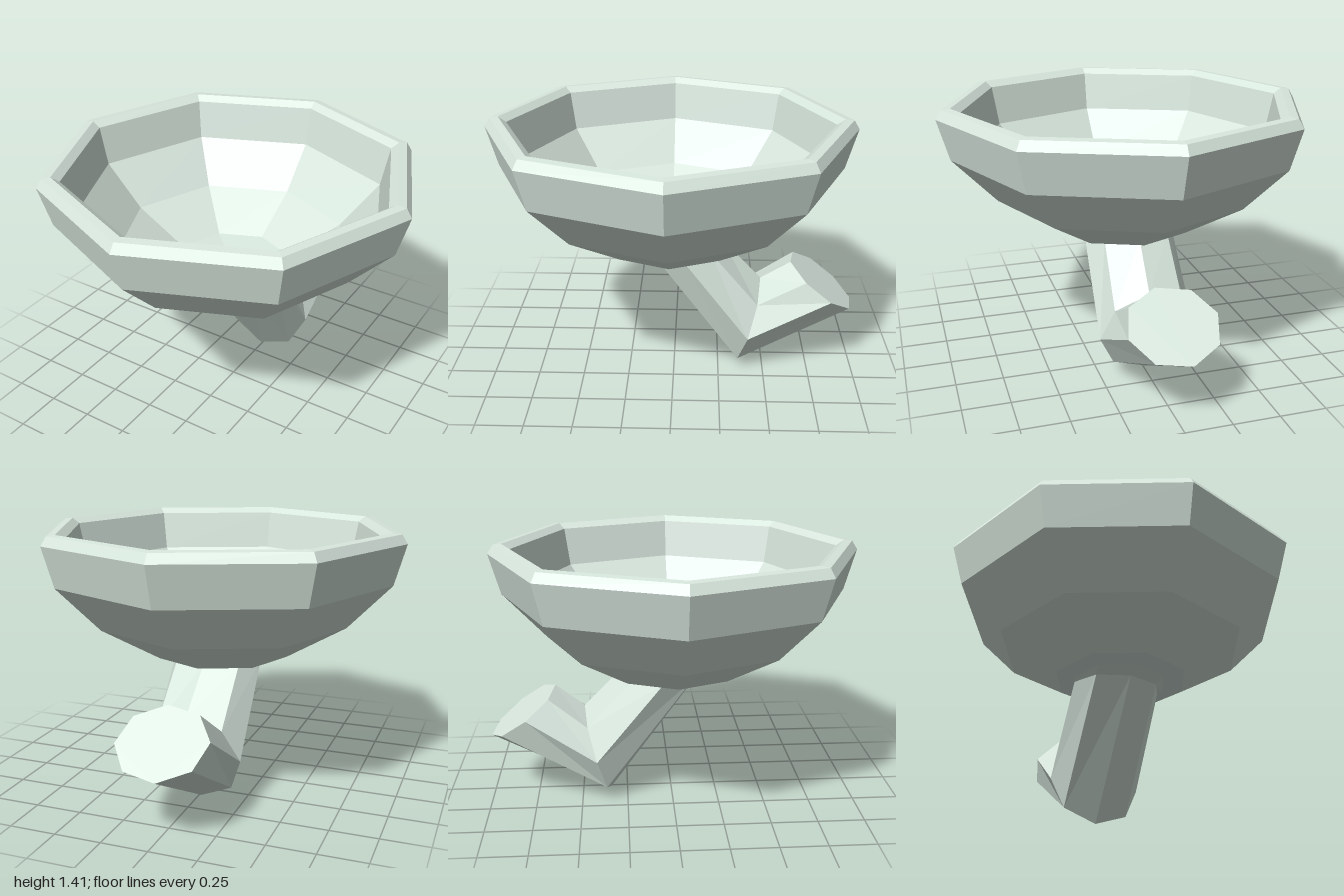
import * as THREE from 'three';

const SIDES = 8;

// Octagonal ring: centre (0, y, z), half-width rx, vector (uy, uz) to its front corner
function ring(y, z, rx, uy, uz, twist = 0) {
  const pts = [];
  for (let i = 0; i < SIDES; i++) {
    const t = (i / SIDES) * Math.PI * 2 + twist;
    pts.push(new THREE.Vector3(rx * Math.sin(t), y + uy * Math.cos(t), z + uz * Math.cos(t)));
  }
  return pts;
}

const flatRing = (r, y, z = 0.02) => ring(y, z, r, 0, r);

// Skin through consecutive rings, optionally closing the first or last one
function loft(name, rings, capStart = false, capEnd = false) {
  const pos = [];
  const tri = (...v) => v.forEach((p) => pos.push(p.x, p.y, p.z));
  for (let k = 0; k < rings.length - 1; k++) {
    const a = rings[k], b = rings[k + 1];
    for (let i = 0; i < SIDES; i++) {
      const j = (i + 1) % SIDES;
      tri(a[i], a[j], b[j]);
      tri(a[i], b[j], b[i]);
    }
  }
  const first = rings[0], last = rings[rings.length - 1];
  for (let i = 1; i < SIDES - 1; i++) {
    if (capStart) tri(first[0], first[i + 1], first[i]);
    if (capEnd) tri(last[0], last[i], last[i + 1]);
  }
  const geo = new THREE.BufferGeometry();
  geo.setAttribute('position', new THREE.Float32BufferAttribute(pos, 3));
  geo.computeVertexNormals();
  const mesh = new THREE.Mesh(geo, new THREE.MeshStandardMaterial({ color: 0xd8e7de, flatShading: true }));
  mesh.name = name;
  return mesh;
}

export function createModel() {
  const group = new THREE.Group();
  group.name = 'sinkBasin';

  // Pipe: wall end, elbow, joint under the bowl
  const pipeTop = ring(0.7, -0.05, 0.246, -0.015, 0.215);
  group.add(loft('wastePipe', [
    ring(0.479, -0.817, 0.24, -0.13, -0.18, -0.17),
    ring(0.247, -0.41, 0.257, -0.247, 0.07, -0.05),
    pipeTop,
  ], true));

  // Bowl: flat underside, outer wall, bevelled rim, inner wall, floor
  const bowl = [
    [0.37, 0.713], [0.69, 0.9], [0.92, 1.14], [0.98, 1.355], [0.95, 1.402],
    [0.905, 1.407], [0.863, 1.378], [0.82, 1.17], [0.61, 0.95], [0.325, 0.785],
  ].map(([r, y]) => flatRing(r, y));
  const drainRim = flatRing(0.198, 0.765, 0.01);
  group.add(loft('bowl', [pipeTop, flatRing(0.265, 0.713, -0.015), ...bowl, drainRim]));

  // Drain: funnel into a slanted blind bore
  group.add(loft('drain', [
    drainRim,
    ring(0.72, -0.02, 0.145, -0.01, 0.14),
    ring(0.27, -0.37, 0.145, -0.1, 0.08),
  ], false, true));

  return group;
}
